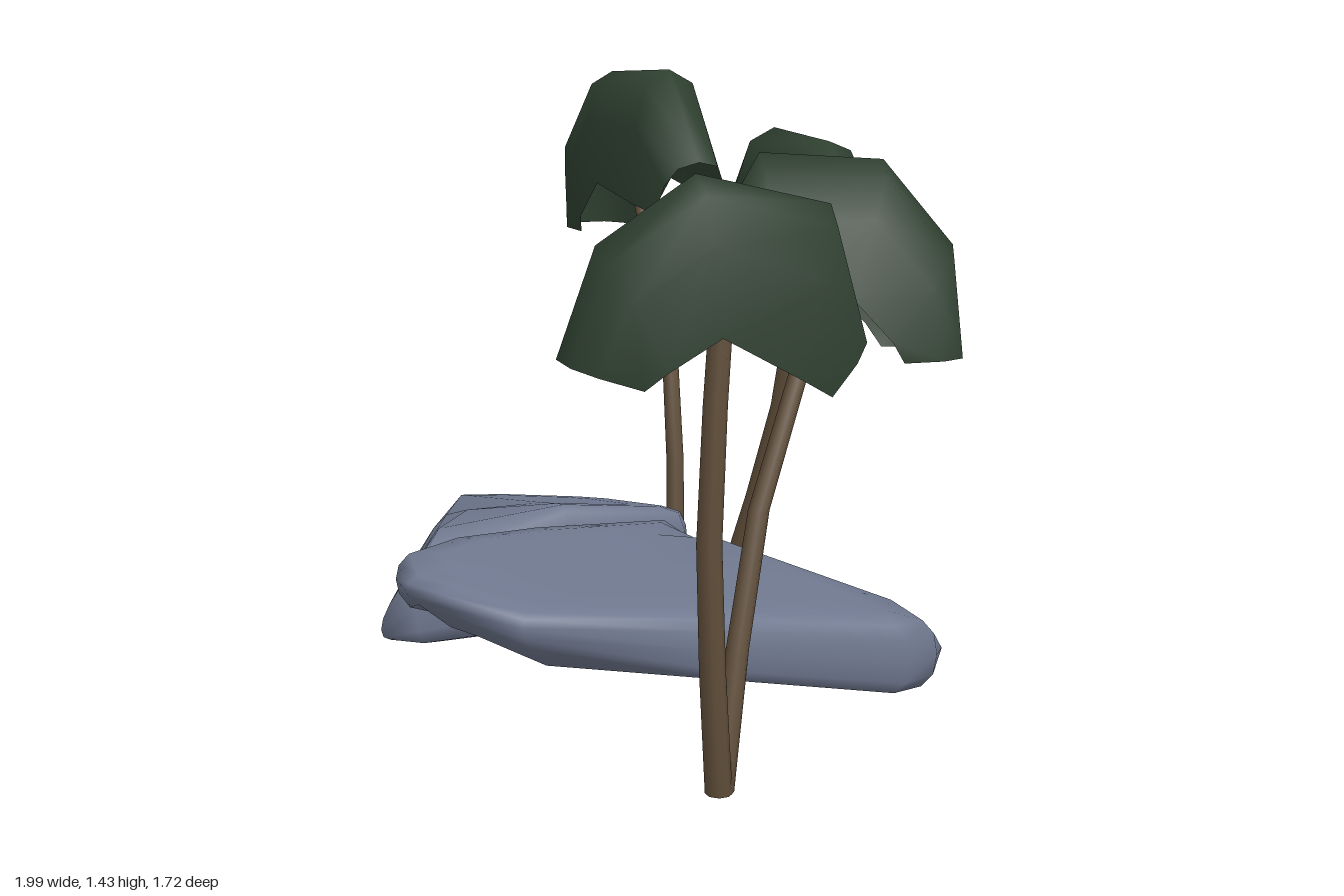
import * as THREE from 'three';

const leafMat = new THREE.MeshStandardMaterial({ color: 0x2e3f2f, side: THREE.DoubleSide });
leafMat.name = 'leaf green';
const barkMat = new THREE.MeshStandardMaterial({ color: 0x614f3b });
barkMat.name = 'bark brown';
const stoneMat = new THREE.MeshStandardMaterial({ color: 0x707990 });
stoneMat.name = 'stone grey';

// Seven angles over a half turn, used for rounded sections
const arc = Array.from({ length: 7 }, (_, i) => (i - 3) * Math.PI / 6);
const bulge = (v, p) => Math.sign(v) * Math.abs(v) ** p;

function makeMesh(name, positions, index, material) {
  const g = new THREE.BufferGeometry();
  g.setAttribute('position', new THREE.Float32BufferAttribute(positions, 3));
  g.setIndex(index);
  g.computeVertexNormals();
  const mesh = new THREE.Mesh(g, material);
  mesh.name = name;
  return mesh;
}

// Closed solid through rings listed bottom to top, each clockwise seen from above
function solidLoft(name, rings, material) {
  const n = rings[0].length, pos = rings.flat(2), idx = [];
  const last = (rings.length - 1) * n, base = rings.length * n;
  for (const ring of [rings[0], rings.at(-1)]) {
    for (let d = 0; d < 3; d++) pos.push(ring.reduce((s, p) => s + p[d], 0) / n);
  }
  for (let i = 0; i < n; i++) {
    const j = (i + 1) % n;
    for (let k = 0; k < last; k += n) {
      idx.push(k + i, k + n + i, k + j, k + n + i, k + n + j, k + j);
    }
    idx.push(base, i, j, base + 1, last + j, last + i); // caps
  }
  return makeMesh(name, pos, idx, material);
}

// Slab with rounded rims: an x,z outline cut by planes [height, x slope, z slope] above and below
function makeRock(name, outline, tops, bottoms) {
  const n = outline.length;
  const cx = outline.reduce((s, p) => s + p[0], 0) / n;
  const cz = outline.reduce((s, p) => s + p[1], 0) / n;
  const heights = (planes, x, z) => planes.map(([h, sx, sz]) => h + sx * x + sz * z);
  const rim = arc.map(a => [
    0.82 + 0.18 * bulge(Math.max(0, Math.cos(a)), 0.5),
    0.5 + 0.5 * bulge(Math.sin(a), 0.8),
  ]);
  const rings = [[0.6, 0], ...rim, [0.6, 1]].map(([s, h]) => outline.map(([px, pz]) => {
    const x = cx + (px - cx) * s, z = cz + (pz - cz) * s;
    const low = Math.max(...heights(bottoms, x, z)), high = Math.min(...heights(tops, x, z));
    return [x, THREE.MathUtils.lerp(low, high, h), z];
  }));
  return solidLoft(name, rings, stoneMat);
}

// Tapering trunk bent through base, middle and top points
function makeTrunk(points, r0, r1) {
  const curve = new THREE.CatmullRomCurve3(points.map(p => new THREE.Vector3(...p)));
  const rings = curve.getPoints(4).map((p, k) => {
    const r = THREE.MathUtils.lerp(r0, r1, k / 4);
    return Array.from({ length: 8 }, (_, i) => {
      const a = i / 8 * Math.PI * 2;
      return [p.x + Math.cos(a) * r, p.y, p.z + Math.sin(a) * r];
    });
  });
  return solidLoft('trunk', rings, barkMat);
}

// Crown side profile: outer arch and ragged inner arch, drooping at one end
const outerArch = [[-0.31, -0.2], [-0.3, 0.05], [-0.14, 0.25], [0.16, 0.27], [0.31, 0.03]];
const innerArch = [[-0.14, -0.2], [-0.11, -0.15], [-0.02, -0.05], [0.17, -0.09], [0.25, -0.11]];

// Hollow crown: a U section swept along the arch; heading turns it, tilt rocks it, roll leans it
function makeCrown({ centre, heading, size, halfWidth, tilt = 0, roll = 0 }) {
  const pos = [], idx = [], m = arc.length;
  const c = Math.cos(heading), s = Math.sin(heading);
  outerArch.forEach(([to, yo], k) => {
    const [ti, yi] = innerArch[k];
    const taper = k % 4 === 0 ? 0.85 : 1;
    arc.forEach((a, i) => {
      const d = 1 - bulge(Math.max(0, Math.cos(a)), 0.8);
      const p = new THREE.Vector2(THREE.MathUtils.lerp(to, ti, d), THREE.MathUtils.lerp(yo, yi, d));
      p.multiplyScalar(size).rotateAround(new THREE.Vector2(), tilt);
      const w = bulge(Math.sin(a), 0.7) * halfWidth * taper + roll * p.y;
      pos.push(centre[0] + c * p.x - s * w, centre[1] + p.y, centre[2] + s * p.x + c * w);
      if (k < 4 && i < m - 1) {
        const v = k * m + i;
        idx.push(v, v + 1, v + m, v + 1, v + m + 1, v + m);
      }
    });
  });
  return makeMesh('crown', pos, idx, leafMat);
}

function makePalm(name, trunkPoints, radii, crown) {
  const palm = new THREE.Group();
  palm.name = name;
  palm.add(makeTrunk(trunkPoints, ...radii), makeCrown(crown));
  return palm;
}

export function createModel() {
  const model = new THREE.Group();
  model.name = 'palmRocks';

  // Large rock: sloping top, long bevel at the back, undercut nose at the front
  model.add(makeRock('largeRock', [
    [0.02, -0.46], [0.6, -0.46], [0.71, -0.29], [0.71, -0.18], [0.5, 0.25], [0.31, 0.68],
    [0.1, 0.735], [-0.02, 0.735], [-0.12, 0.68], [-0.18, 0.47], [-0.18, 0.2], [-0.12, -0.22],
  ],
  [[0.322, -0.13, 0.1], [0.54, 0, 1], [0.73, 0, -0.5]],
  [[0.134, -0.11, 0.17], [-0.005, 0, -0.1], [-0.3, 0, 0.85]]));

  // Small rock: bevelled along its front right edge, undercut at the back
  model.add(makeRock('smallRock', [
    [-0.62, -0.42], [-0.52, -0.455], [-0.14, -0.33], [-0.1, -0.28], [-0.15, 0.1],
    [-0.28, 0.49], [-0.38, 0.52], [-0.71, 0.15], [-0.71, -0.15],
  ],
  [[0.39, 0.12, 0.2], [1.09, 1.13, -0.98], [0.41, 0, -0.1]],
  [[0.06, 0, 0.03], [-0.095, 0, -0.5]]));

  // Pair of palms behind the rocks
  model.add(makePalm('backLeftPalm',
    [[-0.42, 0.06, -0.58], [-0.5, 0.62, -0.64], [-0.72, 1.18, -0.7]], [0.026, 0.019],
    { centre: [-0.685, 1.15, -0.7], heading: 0.24, size: 1.02, halfWidth: 0.125 }));
  model.add(makePalm('backRightPalm',
    [[-0.29, 0, -0.67], [-0.13, 0.53, -0.69], [-0.03, 1.08, -0.67]], [0.033, 0.02],
    { centre: [-0.06, 1.05, -0.685], heading: 0.27 + Math.PI, size: 0.86, halfWidth: 0.125 }));

  // Pair of palms beside the rocks
  model.add(makePalm('sideUprightPalm',
    [[0.77, 0.03, 0.55], [0.775, 0.58, 0.59], [0.775, 1.15, 0.55]], [0.029, 0.024],
    { centre: [0.775, 1.065, 0.555], heading: -0.98, size: 0.95, halfWidth: 0.135, tilt: -0.3 }));
  model.add(makePalm('sideLeaningPalm',
    [[0.77, 0.03, 0.54], [0.72, 0.6, 0.375], [0.69, 1.14, 0.07]], [0.026, 0.02],
    { centre: [0.68, 1.08, 0.1], heading: Math.PI - 0.92, size: 0.92, halfWidth: 0.115, roll: 0.28 }));
  return model;
}
